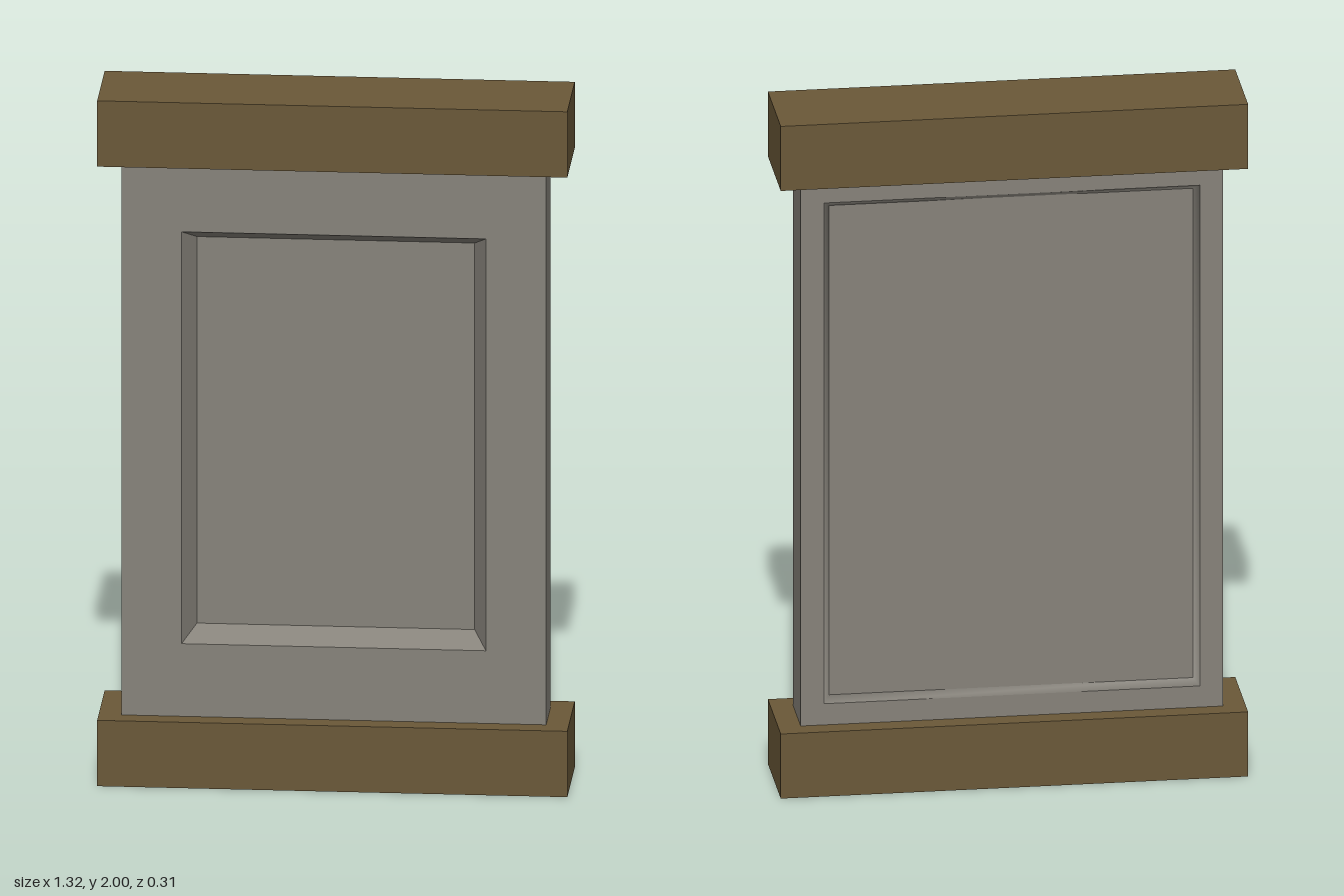
import * as THREE from 'three';

// Rectangle loop, counter-clockwise seen from +z
const rect = (hx, y0, y1, z) => [[-hx, y0, z], [hx, y0, z], [hx, y1, z], [-hx, y1, z]];

// Band of four quads between an outer and an inner rectangle
function band(outer, inner, smooth = false) {
  const geo = new THREE.BufferGeometry();
  geo.setAttribute('position', new THREE.Float32BufferAttribute([...outer, ...inner].flat(), 3));
  const index = [];
  for (let i = 0; i < 4; i++) {
    const j = (i + 1) % 4;
    index.push(i, j, 4 + j, i, 4 + j, 4 + i);
  }
  geo.setIndex(index);
  const out = smooth ? geo : geo.toNonIndexed();
  out.computeVertexNormals();
  return out;
}

export function createModel() {
  const model = new THREE.Group();
  model.name = 'framedPanel';
  const wood = new THREE.MeshStandardMaterial({ color: 0x6a5838 });
  wood.name = 'brownWood';
  const stone = new THREE.MeshStandardMaterial({ color: 0x86827a });
  stone.name = 'greyStone';

  const add = (parent, name, geo, mat) => {
    const mesh = new THREE.Mesh(geo, mat);
    mesh.name = name;
    parent.add(mesh);
    return mesh;
  };

  // The whole piece is turned very slightly about the vertical axis
  const body = new THREE.Group();
  body.name = 'body';
  body.rotation.y = -0.0255;
  model.add(body);

  // Top and bottom beams
  for (const [name, y] of [['bottomBeam', 0.096], ['topBeam', 1.904]]) {
    add(body, name, new THREE.BoxGeometry(1.31, 0.192, 0.273), wood).position.y = y;
  }

  // Slab between the beams
  const hx = 0.592, y0 = 0.192, y1 = 1.808, hz = 0.082;
  add(body, 'slabSides', band(rect(hx, y0, y1, -hz), rect(hx, y0, y1, hz)), stone);

  // One slab face: flat border, bevel and sunken floor
  function face(name, half, bottom, inset, depth, smooth) {
    const side = new THREE.Group();
    side.name = name;
    const lip = rect(half, bottom, 2 - bottom + 0.01 * !smooth, hz);
    const floorTop = lip[2][1] - inset;
    const floorBottom = bottom + inset;
    const floor = rect(half - inset, floorBottom, floorTop, hz - depth);
    add(side, name + 'Border', band(rect(hx, y0, y1, hz), lip), stone);
    add(side, name + 'Bevel', band(lip, floor, smooth), stone);
    const plane = new THREE.PlaneGeometry(2 * (half - inset), floorTop - floorBottom);
    plane.translate(0, (floorTop + floorBottom) / 2, hz - depth);
    add(side, name + 'Floor', plane, stone);
    body.add(side);
    return side;
  }
  face('front', 0.424, 0.404, 0.037, 0.075, false);
  face('back', 0.527, 0.255, 0.017, 0.023, true).rotation.y = Math.PI;

  return model;
}
